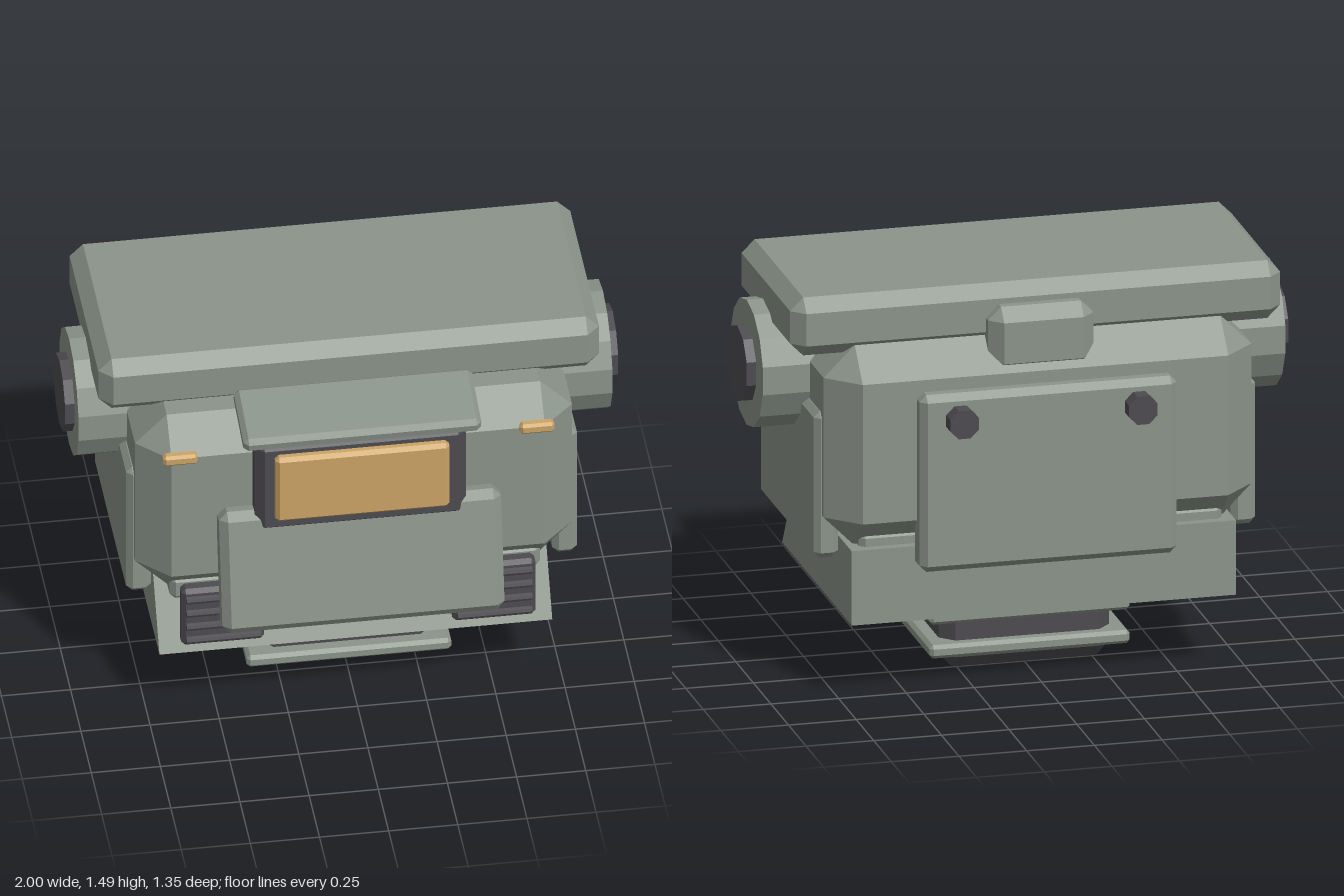
import * as THREE from 'three';
import { ConvexGeometry } from 'three/addons/geometries/ConvexGeometry.js';

const material = (name, color) => {
  const m = new THREE.MeshStandardMaterial({ color });
  m.name = name;
  return m;
};

// Box with flat bevels of size c along every edge
function bevelBox(w, h, d, c) {
  const pts = [];
  for (const sx of [-1, 1]) for (const sy of [-1, 1]) for (const sz of [-1, 1]) {
    const x = w / 2, y = h / 2, z = d / 2;
    pts.push(
      new THREE.Vector3(sx * x, sy * (y - c), sz * (z - c)),
      new THREE.Vector3(sx * (x - c), sy * y, sz * (z - c)),
      new THREE.Vector3(sx * (x - c), sy * (y - c), sz * z)
    );
  }
  return new ConvexGeometry(pts);
}

// Faceted drum with a corner pointing up, lying along x
const drumX = (r, len, sides) =>
  new THREE.CylinderGeometry(r, r, len, sides, 1, false, Math.PI / 2).toNonIndexed().rotateZ(Math.PI / 2);

export function createModel() {
  const model = new THREE.Group();
  model.name = 'armouredHead';
  const green = material('greyGreen', 0x8b948a);
  const dark = material('darkGrey', 0x4d4b50);
  const amber = material('amber', 0xcca466);

  const add = (name, geometry, mat, x = 0, y = 0, z = 0, rx = 0) => {
    geometry.computeVertexNormals();
    const mesh = new THREE.Mesh(geometry, mat);
    mesh.name = name;
    mesh.position.set(x, y, z);
    mesh.rotation.x = rx;
    model.add(mesh);
    return mesh;
  };
  // Bevelled box given by its limits on each axis
  const block = (name, mat, [x0, x1], [y0, y1], [z0, z1], c) =>
    add(name, bevelBox(x1 - x0, y1 - y0, z1 - z0, c), mat, (x0 + x1) / 2, (y0 + y1) / 2, (z0 + z1) / 2);

  // Neck with two flanges
  block('neck', dark, [-0.315, 0.315], [0, 0.45], [-0.295, 0.255], 0.05);
  for (const y of [0.063, 0.19])
    block('neckFlange', green, [-0.37, 0.37], [y, y + 0.05], [-0.34, 0.305], 0.013);

  // Skirt with a sloping front
  const skirt = [];
  for (const x of [-0.71, 0.71])
    for (const [y, z] of [[0.28, 0.46], [0.56, 0.285], [0.56, -0.53], [0.28, -0.53]])
      skirt.push(new THREE.Vector3(x, y, z));
  add('skirt', new ConvexGeometry(skirt), green);
  block('underBody', green, [-0.67, 0.67], [0.51, 0.61], [-0.495, 0.455], 0.02);

  // Main body and roof
  block('body', green, [-0.79, 0.79], [0.55, 1.305], [-0.555, 0.515], 0.115);
  block('roof', green, [-0.905, 0.905], [1.27, 1.488], [-0.455, 0.333], 0.048);
  block('rearHump', green, [-0.195, 0.195], [1.17, 1.42], [-0.535, -0.33], 0.048);

  // Rear hatch with knobs
  block('rearHatch', green, [-0.475, 0.475], [0.48, 1.145], [-0.615, -0.5], 0.025);
  for (const s of [-1, 1]) {
    const knob = new THREE.CylinderGeometry(0.057, 0.057, 0.1, 8, 1, false, Math.PI / 8)
      .toNonIndexed().rotateX(Math.PI / 2);
    add('rearKnob', knob, dark, s * 0.33, 1.05, -0.625);
  }

  // Window, its frame and visor
  block('windowFrame', dark, [-0.382, 0.382], [0.88, 1.28], [0.4, 0.6], 0.032);
  block('window', amber, [-0.315, 0.315], [0.95, 1.232], [0.56, 0.632], 0.014);
  add('visor', bevelBox(0.86, 0.062, 0.27, 0.018), green, 0, 1.322, 0.498, 0.2);

  // Leaning front plate
  add('frontPlate', bevelBox(1.02, 0.48, 0.122, 0.03), green, 0, 0.72, 0.57, -0.2);

  for (const s of [-1, 1]) {
    // Side drums and plates
    add('sideDrum', drumX(0.235, 0.3, 14), green, s * 0.815, 1.13, -0.02);
    add('drumCore', drumX(0.142, 0.2, 10), dark, s * 0.9, 1.13, -0.02);
    const side = (a, b) => (s > 0 ? [a, b] : [-b, -a]);
    block('sidePlate', green, side(0.725, 0.815), [0.5, 1.05], [-0.415, 0.375], 0.022);

    // Marker lights
    block('markerLight', amber, side(0.583, 0.707), [1.174, 1.216], [0.5, 0.54], 0.01);

    // Ribbed vents
    block('vent', dark, side(0.34, 0.64), [0.358, 0.607], [0.47, 0.532], 0.015);
    for (let i = 0; i < 4; i++)
      add('ventRib', drumX(0.015, 0.27, 8), dark, s * 0.49, 0.395 + i * 0.059, 0.54);
  }
  return model;
}
